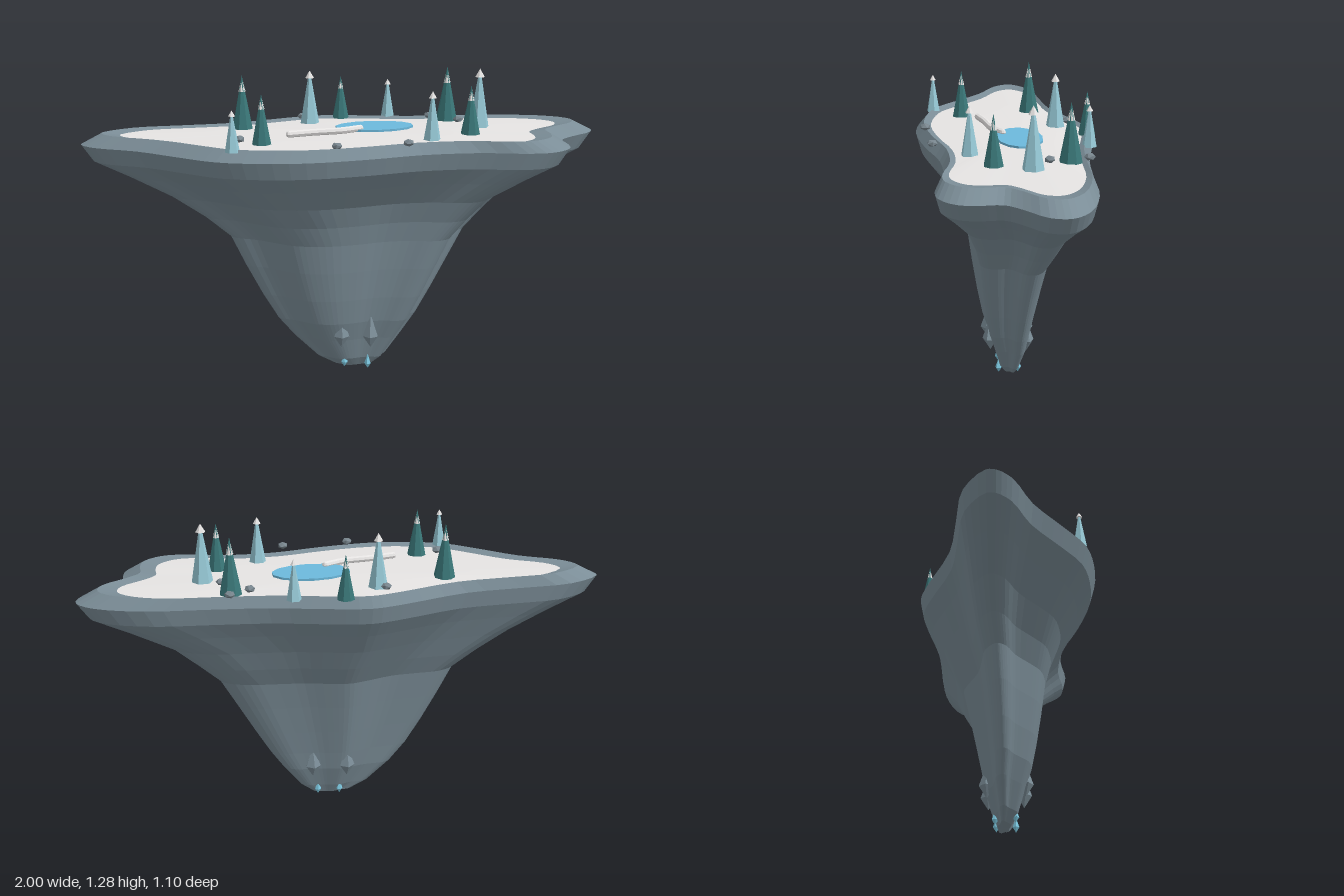
import * as THREE from 'three';

const mat = (name, color) => {
  const m = new THREE.MeshStandardMaterial({ color, flatShading: true });
  m.name = name;
  return m;
};

export function createModel() {
  const island = new THREE.Group();
  island.name = 'floatingIsland';
  const rock = mat('slate rock', 0x7b8d97);
  const snow = mat('snow', 0xe6e4e3);
  const water = mat('pond blue', 0x6cb9dc);
  const pine = mat('dark teal pine', 0x3a7779);
  const frost = mat('frosted pale blue', 0x98cbd8);
  const boulderGrey = mat('boulder grey', 0x78858d);
  const crystalBlue = mat('crystal blue', 0x7cc8e0);

  const add = (name, geometry, material, x = 0, y = 0, z = 0, parent = island) => {
    const mesh = new THREE.Mesh(geometry, material);
    mesh.name = name;
    mesh.position.set(x, y, z);
    parent.add(mesh);
    return mesh;
  };

  // Shoreline of the island as x, z pairs
  const shore = [
    [-1, 0.38], [-0.91, 0.25], [-0.72, 0.14], [-0.51, 0.02], [-0.29, -0.18], [-0.185, -0.26],
    [-0.02, -0.31], [0.22, -0.365], [0.46, -0.45], [0.68, -0.53], [0.885, -0.553], [0.98, -0.515],
    [0.995, -0.44], [0.93, -0.32], [0.9, -0.24], [0.935, -0.16], [0.95, -0.08], [0.9, 0.01],
    [0.805, 0.06], [0.62, 0.1], [0.405, 0.2], [0.215, 0.34], [0, 0.47], [-0.185, 0.53],
    [-0.345, 0.549], [-0.505, 0.515], [-0.72, 0.46], [-0.91, 0.45], [-0.985, 0.415],
  ];
  const SEG = 87;
  const curve = new THREE.CatmullRomCurve3(shore.map(([x, z]) => new THREE.Vector3(x, 0, z)), true);
  const outline = Array.from({ length: SEG }, (_, i) => curve.getPoint(i / SEG));

  // Loft of scaled outlines; each ring is [y, scale, centreX, centreZ]
  const loft = (rings) => {
    const pos = [], idx = [];
    rings.forEach(([y, s, cx = 0, cz = 0], j) => {
      outline.forEach((p, i) => {
        pos.push(cx + p.x * s, y, cz + p.z * s);
        if (j === rings.length - 1) return;
        const a = j * SEG + i, d = j * SEG + ((i + 1) % SEG);
        if (rings[j + 1][1] > 0) idx.push(a, a + SEG, d + SEG);
        if (s > 0) idx.push(a, d + SEG, d);
      });
    });
    const g = new THREE.BufferGeometry();
    g.setAttribute('position', new THREE.Float32BufferAttribute(pos, 3));
    g.setIndex(idx);
    g.computeVertexNormals();
    return g;
  };

  // Rock body from the underside tip up over the rim
  add('rockBody', loft([
    [0.005, 0, 0.07, 0.02], [0.01, 0.075, 0.07, 0.02], [0.05, 0.135, 0.06, 0.025],
    [0.145, 0.215, 0.045, 0.025], [0.23, 0.275, 0.04, 0.03], [0.34, 0.335, 0.037, 0.027],
    [0.47, 0.4, 0.035, 0.02], [0.595, 0.46, 0.035, 0.01], [0.68, 0.55, 0.02, 0],
    [0.77, 0.66], [0.86, 0.82], [0.93, 0.955], [1.0, 1], [1.045, 0.92], [1.035, 0.85],
  ]), rock);
  add('snowField', loft([[1.035, 0.85], [1.04, 0.5], [1.043, 0]]), snow);

  // Pond and the frozen stream leading to it
  const pond = add('pond', new THREE.CylinderGeometry(1, 1, 0.009, 14), water, 0.137, 1.052, -0.045);
  pond.scale.set(0.165, 1, 0.095);
  pond.rotation.y = 0.44;
  const path = new THREE.CatmullRomCurve3([
    new THREE.Vector3(-0.145, 1.06, 0.24), new THREE.Vector3(-0.06, 1.06, 0.175),
    new THREE.Vector3(0.04, 1.06, 0.11), new THREE.Vector3(0.1, 1.06, 0.04),
  ]);
  add('frozenStream', new THREE.TubeGeometry(path, 10, 0.014, 8), snow);
  for (const t of [0, 1]) {
    const p = path.getPoint(t);
    add('streamEnd', new THREE.SphereGeometry(0.0138, 8, 4), snow, p.x, p.y, p.z);
  }

  // Dark pines: x, z, top height; eight-sided with a snow collar near the tip
  const base = 1.035;
  [[-0.4, 0.09, 1.265], [-0.225, 0.345, 1.24], [-0.075, -0.27, 1.22],
    [0.385, -0.335, 1.272], [0.54, -0.075, 1.24]].forEach(([x, z, top]) => {
    const tree = new THREE.Group();
    tree.name = 'darkPine';
    tree.position.set(x, base, z);
    const h = top - base, r = 0.2 * h;
    add('pineCone', new THREE.ConeGeometry(r, h, 8), pine, 0, h / 2, 0, tree);
    add('pineSnow', new THREE.ConeGeometry(r * 0.33, h * 0.28, 6), snow, 0, h * 0.84, 0, tree);
    island.add(tree);
  });

  // Frosted trees: six-sided tapering trunk of foliage with a small snow cap
  [[-0.29, 0.505, 1.2], [-0.165, -0.105, 1.265], [0.12, -0.335, 1.205],
    [0.545, -0.235, 1.285], [0.41, 0.07, 1.235]].forEach(([x, z, top]) => {
    const tree = new THREE.Group();
    tree.name = 'frostedTree';
    tree.position.set(x, base, z);
    const h = top - base, r = 0.18 * h;
    add('frostedCone', new THREE.CylinderGeometry(r * 0.18, r, h * 0.86, 6), frost, 0, h * 0.43, 0, tree);
    add('snowCap', new THREE.ConeGeometry(r * 0.46, h * 0.14, 6), snow, 0, h * 0.93, 0, tree);
    island.add(tree);
  });

  // Small boulders
  [[-0.21, -0.145], [0.31, -0.32], [0.365, -0.405], [0.45, -0.27],
    [0.355, 0.25], [0.1, 0.385], [-0.31, 0.37]].forEach(([x, z], i) => {
    const b = add('boulder', new THREE.IcosahedronGeometry(0.023, 0), boulderGrey, x, 1.058, z);
    b.scale.y = 0.65;
    b.rotation.y = i * 1.3;
  });

  // Rock shards and blue crystals around the underside
  const shard = (name, material, x, y, z, r, h) => {
    const up = h * 0.65, down = h * 0.35;
    const g = new THREE.LatheGeometry([
      new THREE.Vector2(0, -down), new THREE.Vector2(r, 0), new THREE.Vector2(0, up),
    ], 5);
    add(name, g, material, x, y, z).rotation.y = x * 9;
  };
  [[0.045, 0.17, 0.13], [0.16, 0.165, 0.08], [0.13, 0.165, -0.07], [-0.01, 0.165, -0.02]]
    .forEach(([x, y, z]) => shard('rockShard', rock, x, y, z, 0.034, 0.15));
  [[0.045, 0.035, 0.085], [0.14, 0.025, 0.05], [0.12, 0.03, -0.03], [0.03, 0.03, 0]]
    .forEach(([x, y, z]) => shard('iceCrystal', crystalBlue, x, y, z, 0.015, 0.065));

  return island;
}
